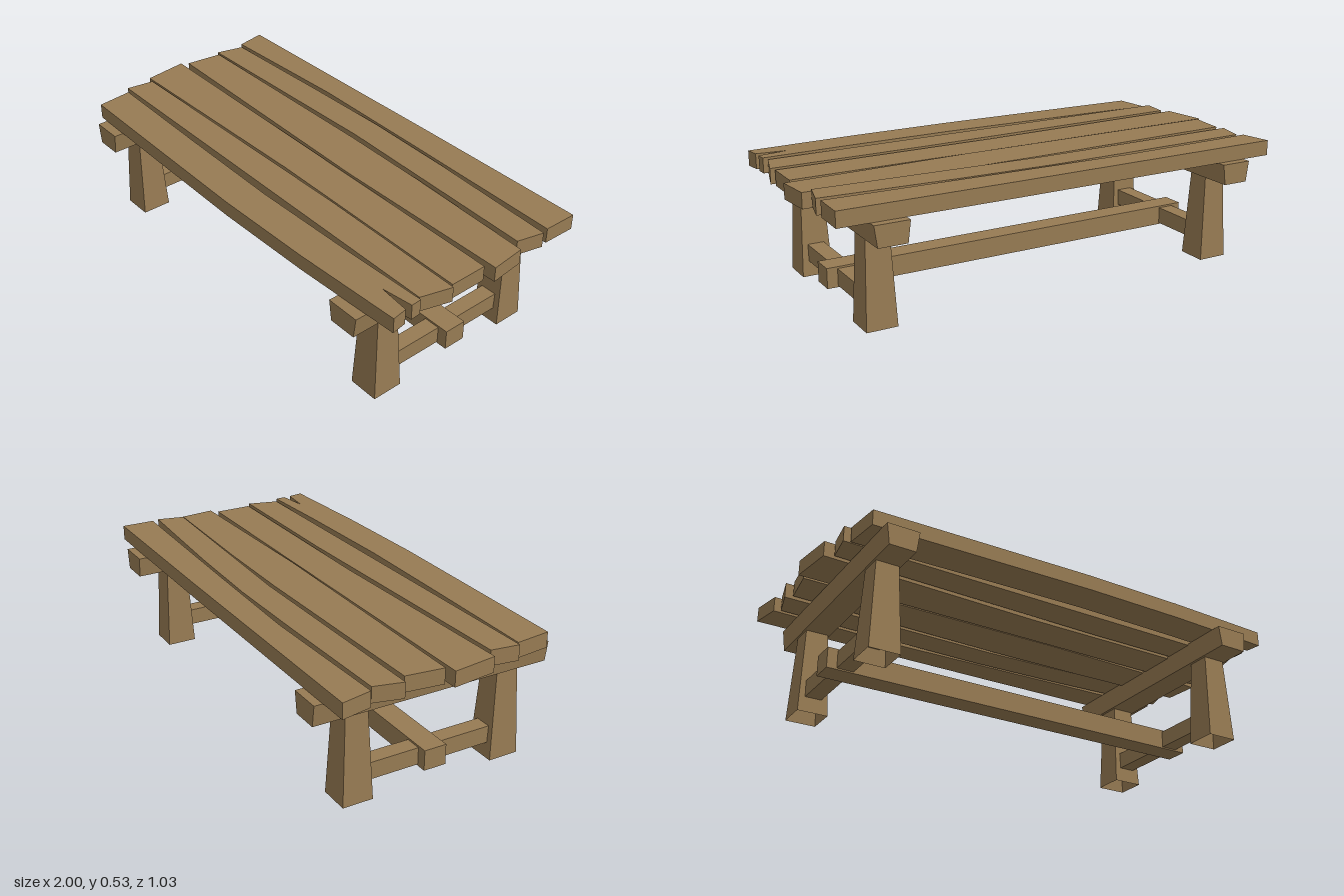
import * as THREE from 'three';

export function createModel() {
  const model = new THREE.Group();
  model.name = 'plankTable';
  const wood = new THREE.MeshStandardMaterial({ color: 0x977b53 });
  wood.name = 'wood';
  wood.side = THREE.DoubleSide;

  const add = (name, geometry) => {
    const mesh = new THREE.Mesh(geometry, wood);
    mesh.name = name;
    model.add(mesh);
  };

  // Box between two heights; bottom and top are [x0, x1, z0, z1]
  const taperedBox = (y0, y1, bottom, top, open = false) => {
    let g = new THREE.BoxGeometry(1, 1, 1);
    const p = g.attributes.position;
    for (let i = 0; i < p.count; i++) {
      const up = p.getY(i) > 0;
      const r = up ? top : bottom;
      p.setXYZ(i, r[p.getX(i) > 0 ? 1 : 0], up ? y1 : y0, r[p.getZ(i) > 0 ? 3 : 2]);
    }
    if (open) {
      // Drop the bottom face (fourth side of the box)
      const index = Array.from(g.index.array);
      index.splice(18, 6);
      g.setIndex(index);
      g.clearGroups();
    }
    g = g.toNonIndexed();
    g.computeVertexNormals();
    return g;
  };

  // Worn planks: outline in x, z, plus height of the underside and slope along x
  const planks = [
    { y: 0.458, slope: 0, outline: [[-1, -0.48], [0.2, -0.483], [0.97, -0.48], [0.967, -0.335], [0.2, -0.357], [-0.35, -0.37], [-0.975, -0.352]] },
    { y: 0.458, slope: 0, outline: [[-0.95, -0.335], [-0.4, -0.346], [0, -0.35], [0.4, -0.337], [0.975, -0.305], [0.947, -0.19], [0, -0.226], [-0.98, -0.215]] },
    { y: 0.455, slope: -0.009, outline: [[-0.95, -0.2], [0, -0.205], [0.4, -0.198], [0.98, -0.175], [0.995, -0.023], [0.2, -0.014], [-0.97, -0.04]] },
    { y: 0.452, slope: -0.006, outline: [[-1, -0.018], [0.2, -0.006], [0.963, 0.002], [0.963, 0.165], [0, 0.155], [-0.975, 0.173]] },
    { y: 0.457, slope: -0.006, outline: [[-0.935, 0.185], [0.3, 0.17], [0.98, 0.178], [0.943, 0.31], [-0.952, 0.305]] },
    { y: 0.458, slope: 0, outline: [[-0.927, 0.318], [-0.4, 0.332], [0.1, 0.342], [0.6, 0.333], [0.96, 0.32], [0.963, 0.365], [0.83, 0.383], [0.965, 0.397], [0.975, 0.462], [0.5, 0.483], [0.05, 0.49], [-0.4, 0.482], [-0.91, 0.472]] },
  ];
  planks.forEach(({ y, slope, outline }, i) => {
    const shape = new THREE.Shape(outline.map(([x, z]) => new THREE.Vector2(x, -z)));
    const g = new THREE.ExtrudeGeometry(shape, { depth: 0.065, bevelEnabled: false });
    g.rotateX(-Math.PI / 2);
    const p = g.attributes.position;
    for (let k = 0; k < p.count; k++) p.setY(k, p.getY(k) + y + slope * p.getX(k));
    g.computeVertexNormals();
    add(`plank${i + 1}`, g);
  });

  // Cross beams under the tabletop, narrower at the bottom
  add('crossBeamRight', taperedBox(0.37, 0.458, [-0.858, -0.747, -0.515, 0.515], [-0.87, -0.735, -0.515, 0.515]));
  add('crossBeamLeft', taperedBox(0.37, 0.458, [0.71, 0.83, -0.515, 0.515], [0.698, 0.842, -0.515, 0.515]));

  // Splayed legs, hollow at the foot
  for (const [side, b, t] of [['Right', [-0.867, -0.738], [-0.85, -0.755]], ['Left', [0.705, 0.835], [0.722, 0.82]]]) {
    add('frontLeg' + side, taperedBox(0, 0.375, [...b, 0.272, 0.403], [...t, 0.292, 0.387], true));
    add('backLeg' + side, taperedBox(0, 0.375, [...b, -0.393, -0.264], [...t, -0.377, -0.282], true));
  }

  // Stretchers between the legs, joined by one long rail
  for (const [side, x] of [['Right', -0.803], ['Left', 0.77]]) {
    const r = [x - 0.035, x + 0.035, -0.29, 0.3];
    add('stretcher' + side, taperedBox(0.066, 0.138, r, r));
  }
  const rail = [-0.88, 0.85, -0.048, 0.049];
  add('longRail', taperedBox(0.06, 0.146, rail, rail));

  return model;
}
